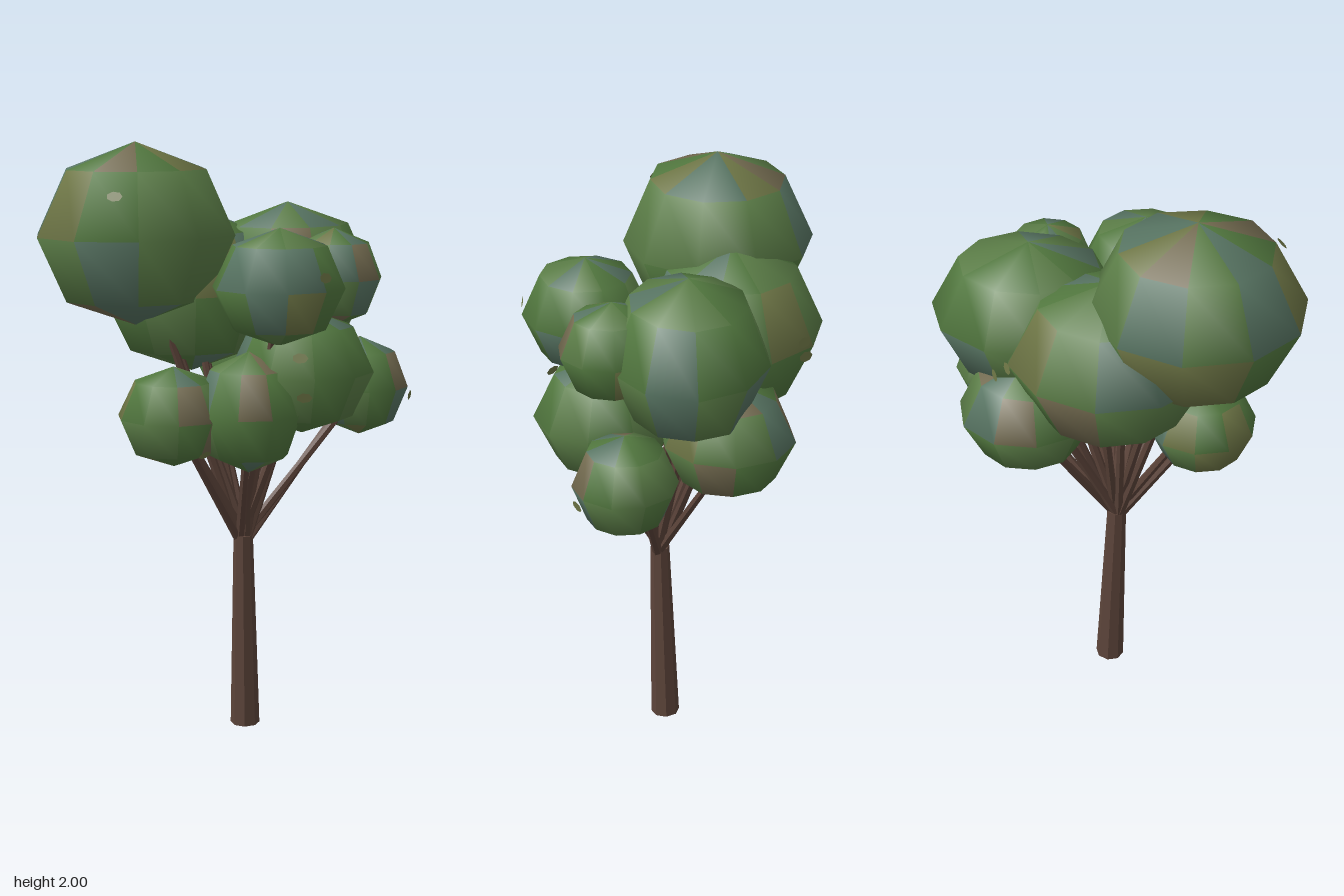
import * as THREE from 'three';

const SIDES = 10, RINGS = 4;
const foliageMats = [0x52783f, 0x5b7d47, 0x587563, 0x6e7646, 0x736b50].map(
  (color) => new THREE.MeshStandardMaterial({ color, side: THREE.DoubleSide }));
const barkMat = new THREE.MeshStandardMaterial({ color: 0x5c443a, flatShading: true });

// Leaf clumps: centre x, y, z, radius along x, y, z, then turn in degrees
const CLUMPS = [
  ['crownClump', -0.27, 1.70, -0.175, 0.345, 0.30, 0.317, 18],
  ['rightUpperClump', 0.28, 1.53, -0.025, 0.32, 0.26, 0.262, 0],
  ['frontUpperClump', -0.05, 1.545, 0.275, 0.22, 0.19, 0.21, 18],
  ['frontSmallClump', 0.265, 1.55, 0.21, 0.16, 0.165, 0.17, 0],
  ['frontLowerClump', 0.11, 1.255, 0.22, 0.235, 0.21, 0.24, 18],
  ['rightLowerClump', 0.425, 1.165, 0.185, 0.165, 0.17, 0.17, 18],
  ['leftLowerClump', -0.28, 1.12, 0.02, 0.185, 0.165, 0.185, 18],
  ['middleLowerClump', -0.105, 1.135, 0.19, 0.18, 0.20, 0.18, 0],
  ['backClump', -0.01, 1.50, -0.195, 0.325, 0.28, 0.295, 18],
  ['backLowerClump', 0.27, 1.24, -0.155, 0.225, 0.195, 0.22, 0],
];

// Stray leaves lying on the clumps: position, then the clump they sit on
const STRAYS = [
  [-0.05, 1.59, 0.48, 2], [-0.07, 1.33, 0.39, 4], [-0.05, 1.20, 0.39, 4], [-0.27, 1.01, 0.16, 6],
  [0.51, 1.14, 0.34, 5], [-0.51, 1.84, 0.01, 0], [0.32, 1.53, -0.39, 8], [0.28, 1.56, -0.39, 8],
];

function seeded(seed) {
  let s = seed;
  return () => (s = (s * 16807) % 2147483647) / 2147483647;
}

// Coarse ball with slightly uneven vertices and a patchwork of greens
function makeClump([name, x, y, z, rx, ry, rz, turn], random) {
  const clump = new THREE.Group();
  clump.name = name;
  clump.position.set(x, y, z);
  const geo = new THREE.SphereGeometry(1, SIDES, RINGS, THREE.MathUtils.degToRad(turn));
  const pos = geo.attributes.position;
  for (let ring = 0; ring <= RINGS; ring++) {
    const pole = ring === 0 || ring === RINGS;
    const scales = Array.from({ length: SIDES }, () => (pole ? 1 : 0.985 + 0.04 * random()));
    for (let i = 0; i <= SIDES; i++) {
      const k = ring * (SIDES + 1) + i, s = scales[i % SIDES];
      pos.setXYZ(k, pos.getX(k) * rx * s, pos.getY(k) * ry, pos.getZ(k) * rz * s);
    }
  }
  // Sort the facets by colour, mostly plain green
  const buckets = foliageMats.map(() => []);
  const index = Array.from(geo.index.array);
  let at = 0;
  for (let ring = 0; ring < RINGS; ring++) {
    const count = ring === 0 || ring === RINGS - 1 ? 3 : 6;
    for (let i = 0; i < SIDES; i++, at += count) {
      const r = random();
      const tone = r < 0.38 ? 0 : r < 0.68 ? 1 : r < 0.86 ? 2 : r < 0.95 ? 3 : 4;
      buckets[tone].push(...index.slice(at, at + count));
    }
  }
  buckets.forEach((faces, tone) => {
    if (!faces.length) return;
    const mesh = new THREE.Mesh(geo.clone().setIndex(faces).toNonIndexed(), foliageMats[tone]);
    mesh.name = name + 'Facets';
    clump.add(mesh);
  });
  return clump;
}

// Tapered limb between two points
function makeLimb(name, from, to, rFrom, rTo, sides) {
  const dir = to.clone().sub(from);
  const mesh = new THREE.Mesh(new THREE.CylinderGeometry(rTo, rFrom, dir.length(), sides), barkMat);
  mesh.name = name;
  mesh.position.copy(from).addScaledVector(dir, 0.5);
  mesh.quaternion.setFromUnitVectors(new THREE.Vector3(0, 1, 0), dir.normalize());
  return mesh;
}

export function createModel() {
  const tree = new THREE.Group();
  tree.name = 'tree';
  const random = seeded(4271);

  // Leaning trunk
  const foot = new THREE.Vector3(0.034, 0.003, 0.028);
  const fork = new THREE.Vector3(0.01, 0.68, 0.043);
  tree.add(makeLimb('trunk', foot, fork, 0.05, 0.033, 8));

  // Two thin branches reach into every clump
  const branches = new THREE.Group();
  branches.name = 'branches';
  for (const [, x, y, z] of CLUMPS) {
    for (const side of [-1, 1]) {
      const start = fork.clone().add(new THREE.Vector3(side * 0.008, -0.02, side * 0.008));
      const tip = new THREE.Vector3(x + side * 0.035, y, z - side * 0.04);
      branches.add(makeLimb('branch', start, tip, 0.017, 0.011, 6));
    }
  }
  tree.add(branches);

  // Foliage
  const foliage = new THREE.Group();
  foliage.name = 'foliage';
  for (const clump of CLUMPS) foliage.add(makeClump(clump, random));
  tree.add(foliage);

  // Stray leaves facing outward from their clump
  const leafGeo = new THREE.CircleGeometry(0.026, 7).scale(1, 0.65, 1);
  for (const [x, y, z, owner] of STRAYS) {
    const leaf = new THREE.Mesh(leafGeo, foliageMats[3]);
    leaf.name = 'strayLeaf';
    leaf.position.set(x, y, z);
    const [, cx, cy, cz] = CLUMPS[owner];
    leaf.lookAt(2 * x - cx, 2 * y - cy, 2 * z - cz);
    tree.add(leaf);
  }
  return tree;
}
